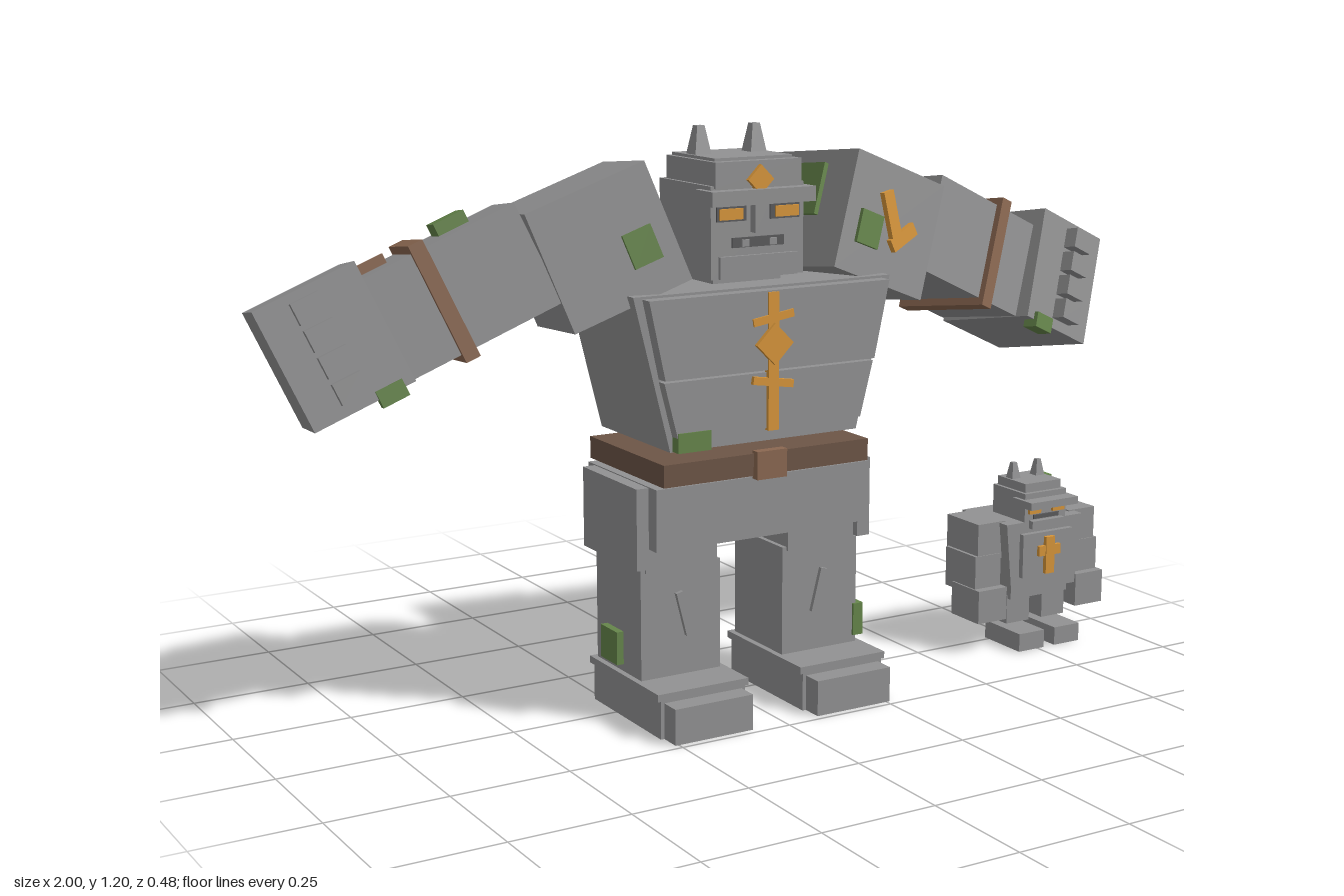
import * as THREE from 'three';

const paint = (name, color) => {
  const m = new THREE.MeshStandardMaterial({ color });
  m.name = name;
  return m;
};

export function createModel() {
  const stone = paint('stone', 0x929293);
  const dark = paint('dark stone', 0x5a5a5c);
  const leather = paint('leather', 0x6d5546);
  const strap = paint('strap', 0x8b6851);
  const gold = paint('gold', 0xd8963a);
  const moss = paint('moss', 0x66864b);

  const model = new THREE.Group();
  model.name = 'golemAndSmallGolem';

  const group = (name, parent = model) => {
    const g = new THREE.Group();
    g.name = name;
    parent.add(g);
    return g;
  };
  const add = (parent, name, geometry, mat, x = 0, y = 0, z = 0, rz = 0) => {
    const m = new THREE.Mesh(geometry, mat);
    m.name = name;
    m.position.set(x, y, z);
    m.rotation.z = rz;
    parent.add(m);
    return m;
  };
  // box by size and centre
  const box = (p, name, mat, w, h, d, x, y, z, rz = 0) =>
    add(p, name, new THREE.BoxGeometry(w, h, d), mat, x, y, z, rz);
  // box by its limits
  const span = (p, name, mat, x0, x1, y0, y1, z0, z1) =>
    box(p, name, mat, x1 - x0, y1 - y0, z1 - z0, (x0 + x1) / 2, (y0 + y1) / 2, (z0 + z1) / 2);
  // trapezoid slab: half widths at the bottom and the top
  const slab = (p, name, mat, w0, w1, y0, y1, z0, z1) => {
    const s = new THREE.Shape([[-w0, y0], [w0, y0], [w1, y1], [-w1, y1]].map(c => new THREE.Vector2(...c)));
    return add(p, name, new THREE.ExtrudeGeometry(s, { depth: z1 - z0, bevelEnabled: false }), mat, 0, 0, z0);
  };
  const horn = (p, r, h, x, y, z) => {
    const g = new THREE.CylinderGeometry(r * 0.45, r, h, 4).rotateY(Math.PI / 4).toNonIndexed();
    g.computeVertexNormals();
    return add(p, 'horn', g, stone, x, y + h / 2, z);
  };

  // legs, feet
  for (const s of [1, -1]) {
    const leg = group(s > 0 ? 'leftLeg' : 'rightLeg');
    leg.position.x = s * 0.168;
    box(leg, 'thigh', stone, 0.165, 0.1, 0.2, 0, 0.37, 0.005);
    box(leg, 'hipGuard', stone, 0.03, 0.168, 0.23, s * 0.096, 0.417, 0.005);
    box(leg, 'shin', stone, 0.185, 0.235, 0.19, 0, 0.21, 0.005);
    span(leg, 'foot', stone, -0.098, 0.098, 0, 0.082, -0.096, 0.19);
    span(leg, 'footRim', stone, -0.105, 0.105, 0.08, 0.095, -0.102, 0.192);
    span(leg, 'toe', stone, -0.09, 0.09, 0, 0.075, 0.19, 0.235);
    box(leg, 'shinGroove', stone, 0.016, 0.095, 0.012, s * -0.005, 0.225, 0.103, s * -0.25);
    box(leg, 'legMoss', moss, 0.024, 0.07, 0.07, s * 0.096, 0.145, s > 0 ? 0.07 : -0.01);
  }

  // pelvis, belt
  span(model, 'pelvis', stone, -0.252, 0.252, 0.375, 0.503, -0.138, 0.152);
  span(model, 'belt', leather, -0.242, 0.242, 0.508, 0.554, -0.148, 0.165);
  span(model, 'buckle', strap, -0.035, 0.035, 0.502, 0.56, 0.16, 0.18);

  // torso with chest and back plates
  const torso = group('torso');
  slab(torso, 'body', stone, 0.22, 0.3, 0.575, 0.89, -0.137, 0.152);
  slab(torso, 'upperChestPlate', stone, 0.245, 0.28, 0.725, 0.885, 0.15, 0.18);
  slab(torso, 'lowerChestPlate', stone, 0.215, 0.245, 0.605, 0.72, 0.15, 0.175);
  slab(torso, 'backPlate', stone, 0.18, 0.21, 0.65, 0.865, -0.165, -0.135);
  box(torso, 'chestGoldLine', gold, 0.024, 0.28, 0.014, 0, 0.742, 0.177);
  box(torso, 'chestGoldDiamond', gold, 0.06, 0.06, 0.018, 0, 0.778, 0.181, Math.PI / 4);
  for (const y of [0.83, 0.7]) {
    box(torso, 'chestGoldBar', gold, 0.095, 0.016, 0.014, 0, y, 0.177, y > 0.8 ? 0.15 : -0.15);
  }
  box(torso, 'frontMoss', moss, 0.075, 0.04, 0.025, -0.178, 0.597, 0.165);
  box(torso, 'backMoss', moss, 0.095, 0.08, 0.03, -0.155, 0.765, -0.168);
  box(torso, 'backMoss', moss, 0.07, 0.06, 0.035, 0.17, 0.635, -0.155);

  // head
  const head = group('head');
  span(head, 'neck', stone, -0.08, 0.08, 0.87, 0.92, -0.08, 0.08);
  span(head, 'skull', stone, -0.108, 0.108, 0.905, 1.09, -0.085, 0.12);
  span(head, 'napePlate', stone, -0.085, 0.085, 0.92, 0.99, -0.097, -0.08);
  span(head, 'helmet', stone, -0.1, 0.1, 1.085, 1.137, -0.07, 0.125);
  span(head, 'crown', stone, -0.09, 0.09, 1.13, 1.143, -0.065, 0.105);
  span(head, 'brow', stone, -0.12, 0.12, 1.052, 1.082, 0.08, 0.148);
  span(head, 'nose', stone, -0.016, 0.016, 0.995, 1.055, 0.118, 0.138);
  span(head, 'jaw', stone, -0.09, 0.09, 0.905, 0.95, 0.115, 0.128);
  span(head, 'mouth', dark, -0.06, 0.06, 0.966, 0.986, 0.118, 0.124);
  for (const x of [-0.032, 0.032]) box(head, 'tooth', stone, 0.016, 0.014, 0.008, x, 0.975, 0.125);
  box(head, 'browGem', gold, 0.042, 0.042, 0.015, 0, 1.1, 0.127, Math.PI / 4);
  box(head, 'headMoss', moss, 0.025, 0.02, 0.07, 0.1, 1.12, 0.02);
  for (const s of [1, -1]) {
    box(head, 'eyeSocket', dark, 0.068, 0.03, 0.006, s * 0.062, 1.034, 0.121);
    box(head, 'eye', gold, 0.054, 0.022, 0.01, s * 0.065, 1.034, 0.124);
    horn(head, 0.027, 0.06, s * 0.065, 1.14, 0);
  }

  // arm segment frame: a runs towards the hand, d points forward
  const segment = (name, s, c, a, d) => {
    const g = group(name);
    const ax = new THREE.Vector3(...a).normalize();
    const az = new THREE.Vector3(...d);
    az.addScaledVector(ax, -ax.dot(az)).normalize();
    const ay = new THREE.Vector3().crossVectors(az, ax);
    const q = new THREE.Quaternion().setFromRotationMatrix(new THREE.Matrix4().makeBasis(ax, ay, az));
    g.quaternion.set(q.x, s * q.y, s * q.z, q.w);
    g.position.set(s * c[0], c[1], c[2]);
    return g;
  };
  for (const s of [1, -1]) {
    const side = s > 0 ? 'left' : 'right';
    const low = [0.9, -0.405, -0.16];

    const sh = segment(side + 'Shoulder', s, [0.305, 0.972, -0.018], [0.93, -0.36, -0.13], [0.1, 0.13, 1]);
    box(sh, 'shoulderBlock', stone, 0.26, 0.25, 0.265, 0, 0, 0);
    box(sh, 'innerMoss', moss, 0.02, 0.11, 0.1, s * -0.131, 0.04, 0.0);
    box(sh, 'frontMoss', moss, 0.062, 0.07, 0.015, s * -0.06, -0.025, 0.133);
    if (s > 0) {
      box(sh, 'goldMarkStem', gold, 0.028, 0.1, 0.02, -0.01, 0.02, 0.135, 0.55);
      box(sh, 'goldMarkFoot', gold, 0.075, 0.028, 0.02, 0.034, -0.016, 0.135, 0.8);
    }

    const fore = segment(side + 'Forearm', s, [0.6, 0.893, -0.055], low, [0.18, 0.16, 1]);
    box(fore, 'forearmBlock', stone, 0.36, 0.212, 0.212, 0, 0, 0);
    box(fore, 'armStrap', strap, 0.03, 0.245, 0.24, s * 0.025, 0, 0);
    box(fore, 'forearmMoss', moss, 0.065, 0.03, 0.08, s * -0.07, 0.116, -0.025);
    box(fore, 'forearmRidge', s > 0 ? stone : strap, 0.1, 0.024, 0.022, s * 0.125, 0.113, 0.005);

    const hand = segment(side + 'Hand', s, [0.832, 0.808, -0.083], low, [0.18, 0.2, 1]);
    box(hand, 'fist', stone, 0.21, 0.25, 0.24, 0, 0, 0);
    for (let i = 0; i < 4; i++) {
      box(hand, 'knuckle', stone, 0.058, 0.044, 0.04, s * 0.01, 0.085 - i * 0.055, 0.13);
    }
    box(hand, 'handMoss', moss, 0.055, 0.034, 0.035, s * -0.055, -0.125, 0.112);
  }

  // small golem standing beside the large one
  const kid = group('smallGolem');
  kid.position.x = 0.783;
  slab(kid, 'body', stone, 0.09, 0.107, 0.13, 0.29, -0.08, 0.085);
  span(kid, 'chestPlate', stone, -0.07, 0.07, 0.165, 0.265, 0.08, 0.098);
  span(kid, 'pelvis', stone, -0.08, 0.08, 0.11, 0.14, -0.06, 0.07);
  span(kid, 'backPack', stone, -0.03, 0.03, 0.145, 0.195, -0.1, -0.075);
  span(kid, 'goldStem', gold, -0.012, 0.012, 0.17, 0.255, 0.096, 0.108);
  span(kid, 'goldBar', gold, -0.03, 0.03, 0.212, 0.235, 0.096, 0.106);
  span(kid, 'head', stone, -0.058, 0.058, 0.275, 0.355, -0.03, 0.085);
  span(kid, 'headTop', stone, -0.05, 0.05, 0.35, 0.375, -0.025, 0.075);
  span(kid, 'brow', stone, -0.066, 0.066, 0.325, 0.342, 0.05, 0.118);
  span(kid, 'jaw', stone, -0.045, 0.045, 0.275, 0.293, 0.08, 0.098);
  span(kid, 'mouth', dark, -0.035, 0.035, 0.296, 0.305, 0.084, 0.09);
  span(kid, 'headMoss', moss, 0.035, 0.07, 0.356, 0.372, -0.03, 0.018);
  for (const s of [1, -1]) {
    box(kid, 'eye', gold, 0.032, 0.015, 0.01, s * 0.033, 0.316, 0.087);
    horn(kid, 0.017, 0.038, s * 0.034, 0.373, 0.01);
    box(kid, 'upperArm', stone, 0.075, 0.085, 0.115, s * 0.128, 0.25, 0);
    box(kid, 'forearm', stone, 0.07, 0.09, 0.11, s * 0.138, 0.175, 0.005);
    box(kid, 'fist', stone, 0.078, 0.075, 0.1, s * 0.138, 0.108, 0.03);
    box(kid, 'leg', stone, 0.064, 0.065, 0.1, s * 0.05, 0.084, 0.01);
    box(kid, 'foot', stone, 0.07, 0.041, 0.125, s * 0.05, 0.0205, 0.05);
  }
  return model;
}
